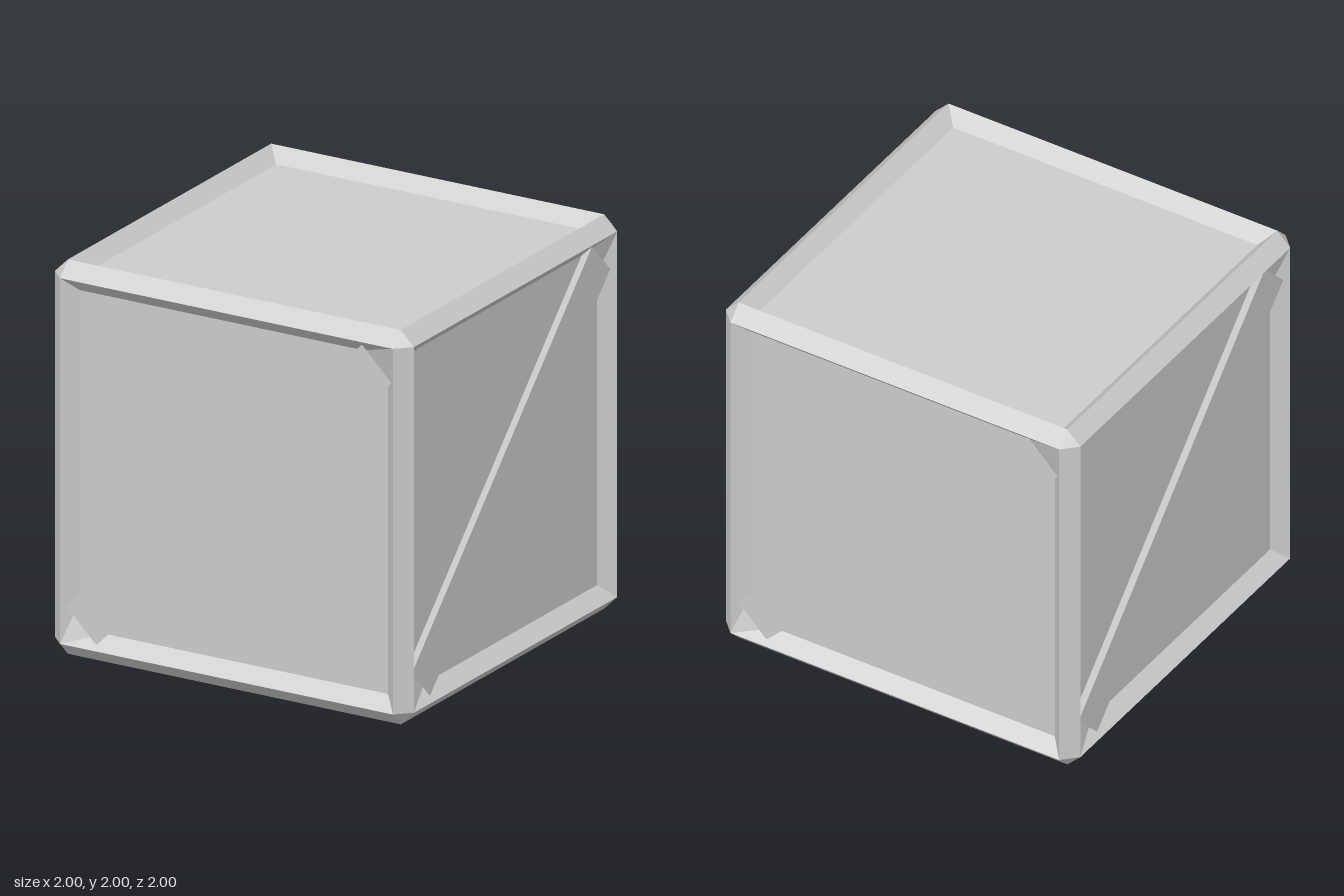
import * as THREE from 'three';

const C = 0.927;  // where each chamfer starts
const N = 0.858;  // inner border of the frame
const K = 0.72;   // where the frame is cut behind the brace ends
const P = 0.93;   // depth of the recessed panels
const material = new THREE.MeshStandardMaterial({ color: 0xcccccc, flatShading: true });

// Flat polygons, each a counter-clockwise list of [x, y, z] corners.
function polygons(name, faces) {
  const pos = [];
  for (const f of faces)
    for (let i = 1; i < f.length - 1; i++) pos.push(...f[0], ...f[i], ...f[i + 1]);
  const geo = new THREE.BufferGeometry();
  geo.setAttribute('position', new THREE.Float32BufferAttribute(pos, 3));
  geo.computeVertexNormals();
  const mesh = new THREE.Mesh(geo, material);
  mesh.name = name;
  return mesh;
}

// Recessed panel and its sloping border, facing +z; braced panels lose two corners.
function recessedFace(braced) {
  const outer = [[-C, -C, 1], [C, -C, 1], [C, C, 1], [-C, C, 1]];
  const inner = braced
    ? [[[-N, -K, P], [-K, -N, P]], [[N, -N, P]], [[N, K, P], [K, N, P]], [[-N, N, P]]]
    : [[[-N, -N, P]], [[N, -N, P]], [[N, N, P]], [[-N, N, P]]];
  const border = [];
  for (let i = 0; i < 4; i++) {
    const j = (i + 1) % 4;
    border.push([outer[i], outer[j], inner[j][0], inner[i].at(-1)]);
    if (inner[i].length > 1) border.push([outer[i], inner[i][1], inner[i][0]]);
  }
  const group = new THREE.Group();
  group.add(polygons('panel', [inner.flat()]), polygons('frameInnerBevel', border));
  return group;
}

// Outer chamfers along the top, bottom and one upright of a side, with corner facets.
function outerChamfers() {
  return polygons('frameOuterChamfer', [
    [[C, -C, 1], [1, -C, C], [1, C, C], [C, C, 1]],
    [[-C, C, 1], [C, C, 1], [C, 1, C], [-C, 1, C]],
    [[-C, -1, C], [C, -1, C], [C, -C, 1], [-C, -C, 1]],
    [[C, C, 1], [1, C, C], [C, 1, C]],
    [[C, -C, 1], [C, -1, C], [1, -C, C]],
  ]);
}

// Diagonal plank, slightly wider at its outer face.
function diagonalBrace() {
  const geo = new THREE.BoxGeometry(2, 2, 1);
  const p = geo.attributes.position;
  for (let i = 0; i < p.count; i++) {
    const top = p.getZ(i) > 0;
    p.setXYZ(i, p.getX(i) * (top ? 1.163 : 1.117), p.getY(i) * (top ? 0.117 : 0.099), top ? 0.975 : P);
  }
  geo.rotateZ(Math.PI / 4);
  geo.computeVertexNormals();
  const mesh = new THREE.Mesh(geo, material);
  mesh.name = 'diagonalBrace';
  return mesh;
}

export function createModel() {
  const model = new THREE.Group();
  model.name = 'crate';
  const names = ['frontSide', 'leftSide', 'backSide', 'rightSide'];

  // Four identical braced sides
  names.forEach((name, i) => {
    const side = recessedFace(true);
    side.name = name;
    side.add(outerChamfers(), diagonalBrace());
    side.rotation.y = i * Math.PI / 2;
    side.position.y = 1;
    model.add(side);
  });

  // Plain lid and base
  for (const [name, turn] of [['lid', -1], ['base', 1]]) {
    const face = recessedFace(false);
    face.name = name;
    face.rotation.x = turn * Math.PI / 2;
    face.position.y = 1;
    model.add(face);
  }
  return model;
}
